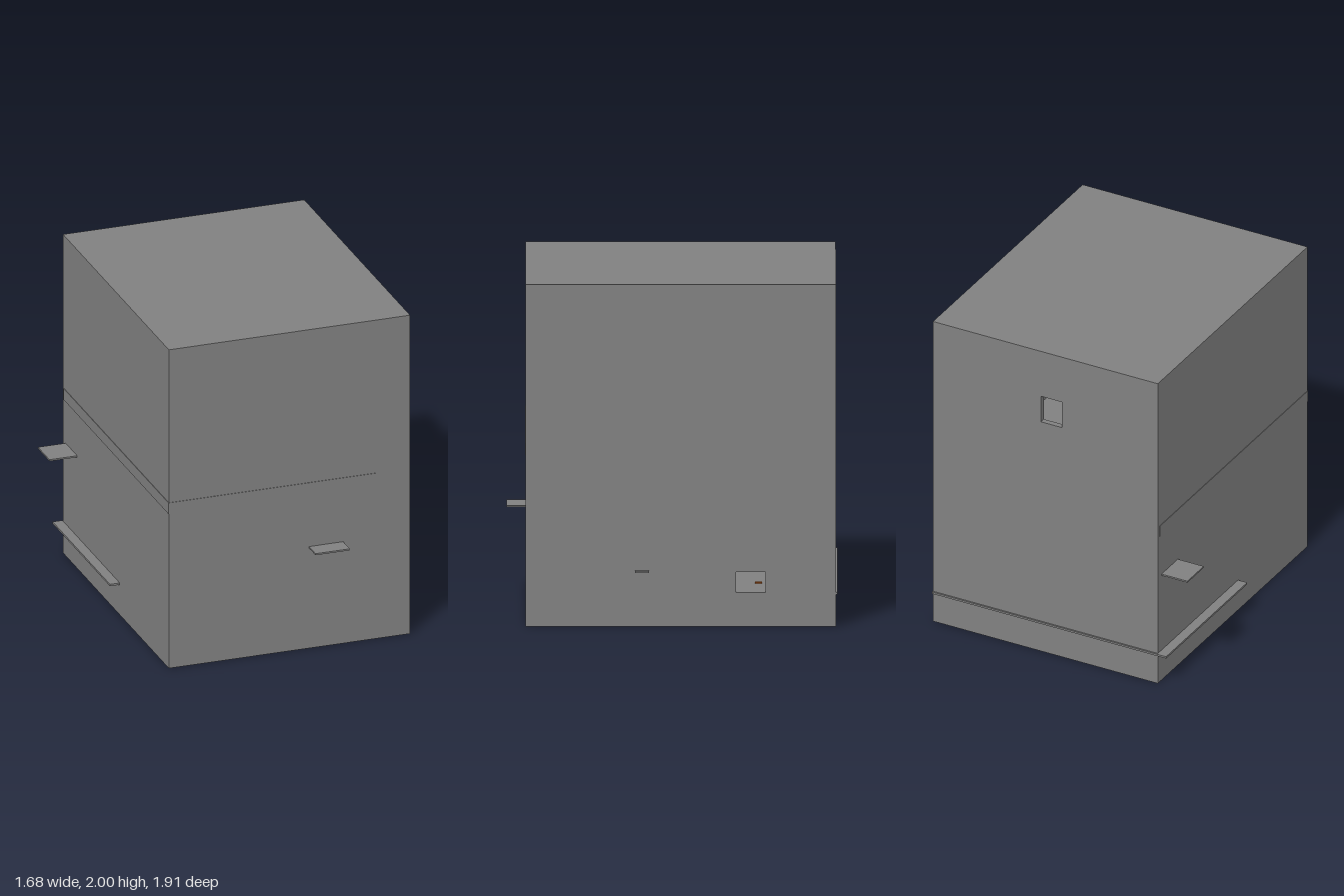
import * as THREE from 'three';

const X0 = -0.67, X1 = 0.81, Z0 = -0.945, Z1 = 0.845, H = 2, T = 0.035;

function material(name, color) {
  const m = new THREE.MeshStandardMaterial({ color });
  m.name = name;
  return m;
}

export function createModel() {
  const group = new THREE.Group();
  const grey = material('wall grey', 0x808080);
  const pale = material('pale floor grey', 0xb0b0b0);
  const orange = material('orange', 0xd2691e);

  function add(name, geometry, mat) {
    const mesh = new THREE.Mesh(geometry, mat);
    mesh.name = name;
    group.add(mesh);
    return mesh;
  }

  // Box given by its minimum and maximum along each axis
  function slab(name, [xa, xb], [ya, yb], [za, zb], mat = grey) {
    add(name, new THREE.BoxGeometry(xb - xa, yb - ya, zb - za), mat)
      .position.set((xa + xb) / 2, (ya + yb) / 2, (za + zb) / 2);
  }

  // Upright wall panel with an optional rectangular opening [a0, a1, y0, y1]
  function panel(a0, a1, hole) {
    const rect = (P, l, r, b, t) => {
      const p = new P();
      p.moveTo(l, b);
      p.lineTo(r, b);
      p.lineTo(r, t);
      p.lineTo(l, t);
      p.closePath();
      return p;
    };
    const shape = rect(THREE.Shape, a0, a1, 0, H - T);
    if (hole) shape.holes.push(rect(THREE.Path, ...hole));
    return new THREE.ExtrudeGeometry(shape, { depth: T, bevelEnabled: false });
  }

  // Hollow shell, open at the bottom
  slab('roof', [X0, X1], [H - T, H], [Z0, Z1]);
  add('frontWall', panel(X0, X1), grey).position.z = Z1 - T;
  add('backWall', panel(X0, X1, [-0.04, 0.1, 1.53, 1.7]), grey).position.z = Z0;
  const left = add('leftWall', panel(Z0 + T, Z1 - T, [-0.54, -0.37, 0.2, 0.32]), grey);
  left.rotation.y = -Math.PI / 2;
  left.position.x = X1;
  const right = add('rightWall', panel(Z0 + T, Z1 - T), grey);
  right.rotation.y = -Math.PI / 2;
  right.position.x = X0 + T;

  // Floors inside, their edges showing through the walls
  slab('upperFloor', [X0 - 0.003, 0.61], [0.97, 1.04], [-0.925, Z1 + 0.003]);
  slab('lowerBackFloor', [-0.73, X1 + 0.002], [0.188, 0.2], [-0.955, 0.015]);
  slab('lowerFrontFloor', [X0 + T, X1 - T], [0.19, 0.2], [0.015, Z1 - T], pale);

  // Ledges outside
  slab('frontLedge', [0.19, 0.4], [0.628, 0.638], [Z1 - T, 0.955]);
  slab('rightLedge', [-0.84, X0 + T], [0.697, 0.707], [-0.9, -0.705]);
  slab('leftTab', [X1 - T, 0.84], [0.317, 0.329], [0.133, 0.213]);

  // Small orange peg through the lower floor
  slab('peg', [0.47, 0.51], [0.184, 0.206], [-0.52, -0.48], orange);

  return group;
}
